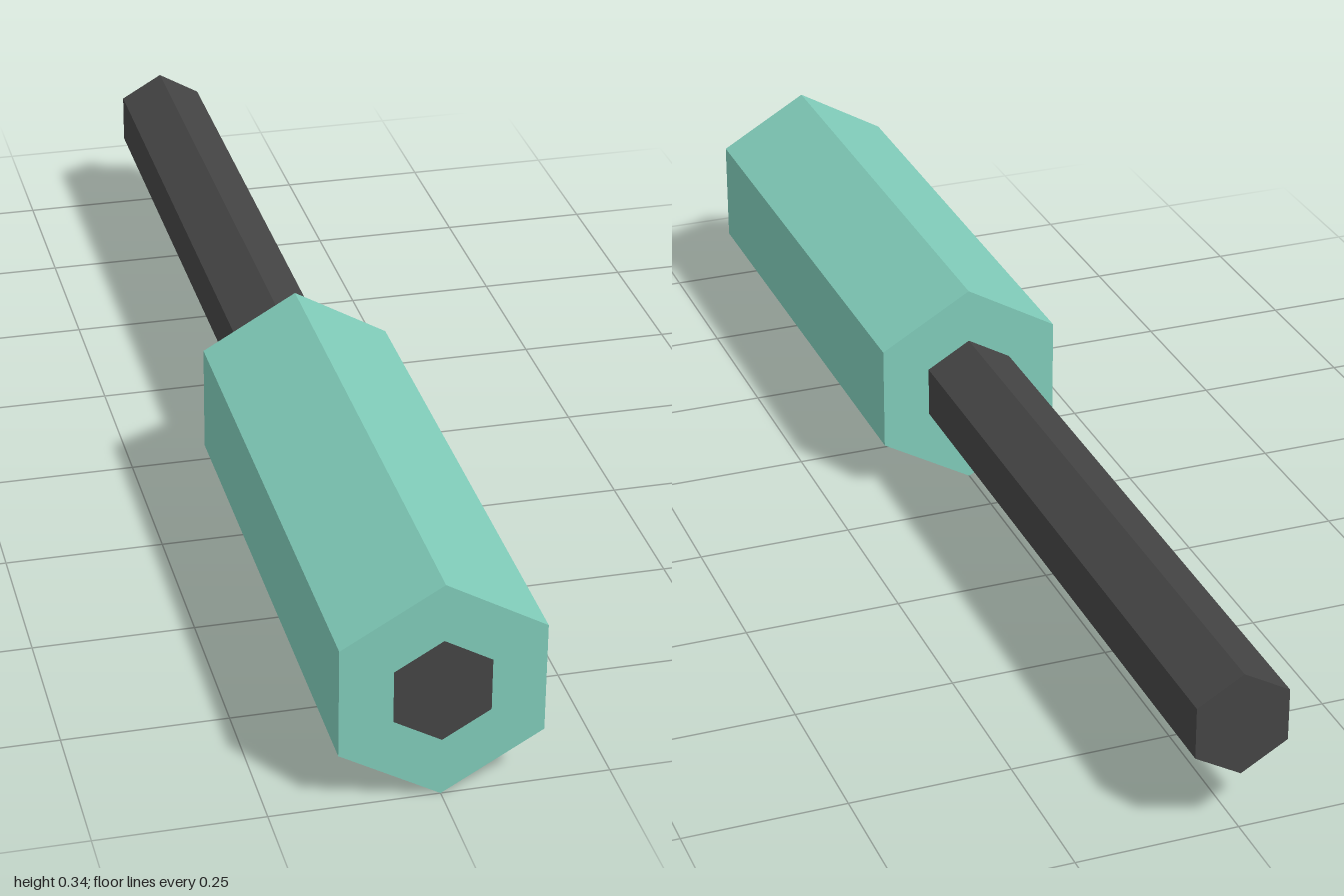
import * as THREE from 'three';

const SLEEVE_R = 0.1725, ROD_R = 0.082;

// Six corners of a hexagon with points up and down
function hexPoints(r) {
  return Array.from({ length: 6 }, (_, i) => {
    const a = Math.PI / 2 + (i * Math.PI) / 3;
    return new THREE.Vector2(r * Math.cos(a), r * Math.sin(a));
  });
}

// Hexagonal prism along z, optionally hollow
function hexPrism(name, r, holeR, z0, z1, material) {
  const shape = new THREE.Shape(hexPoints(r));
  if (holeR) shape.holes.push(new THREE.Path(hexPoints(holeR)));
  const geometry = new THREE.ExtrudeGeometry(shape, { depth: z1 - z0, bevelEnabled: false });
  const mesh = new THREE.Mesh(geometry, material);
  mesh.name = name;
  mesh.position.set(0, SLEEVE_R, z0);
  return mesh;
}

export function createModel() {
  const group = new THREE.Group();
  group.name = 'hexDriver';

  const teal = new THREE.MeshStandardMaterial({ color: 0x80cbb9 });
  teal.name = 'teal';
  const charcoal = new THREE.MeshStandardMaterial({ color: 0x444444 });
  charcoal.name = 'charcoal';

  // Thick hollow sleeve over the front, with the rod flush at its front end
  group.add(hexPrism('sleeve', SLEEVE_R, ROD_R, 0.103, 1, teal));
  group.add(hexPrism('rod', ROD_R, 0, -1, 1, charcoal));
  return group;
}
